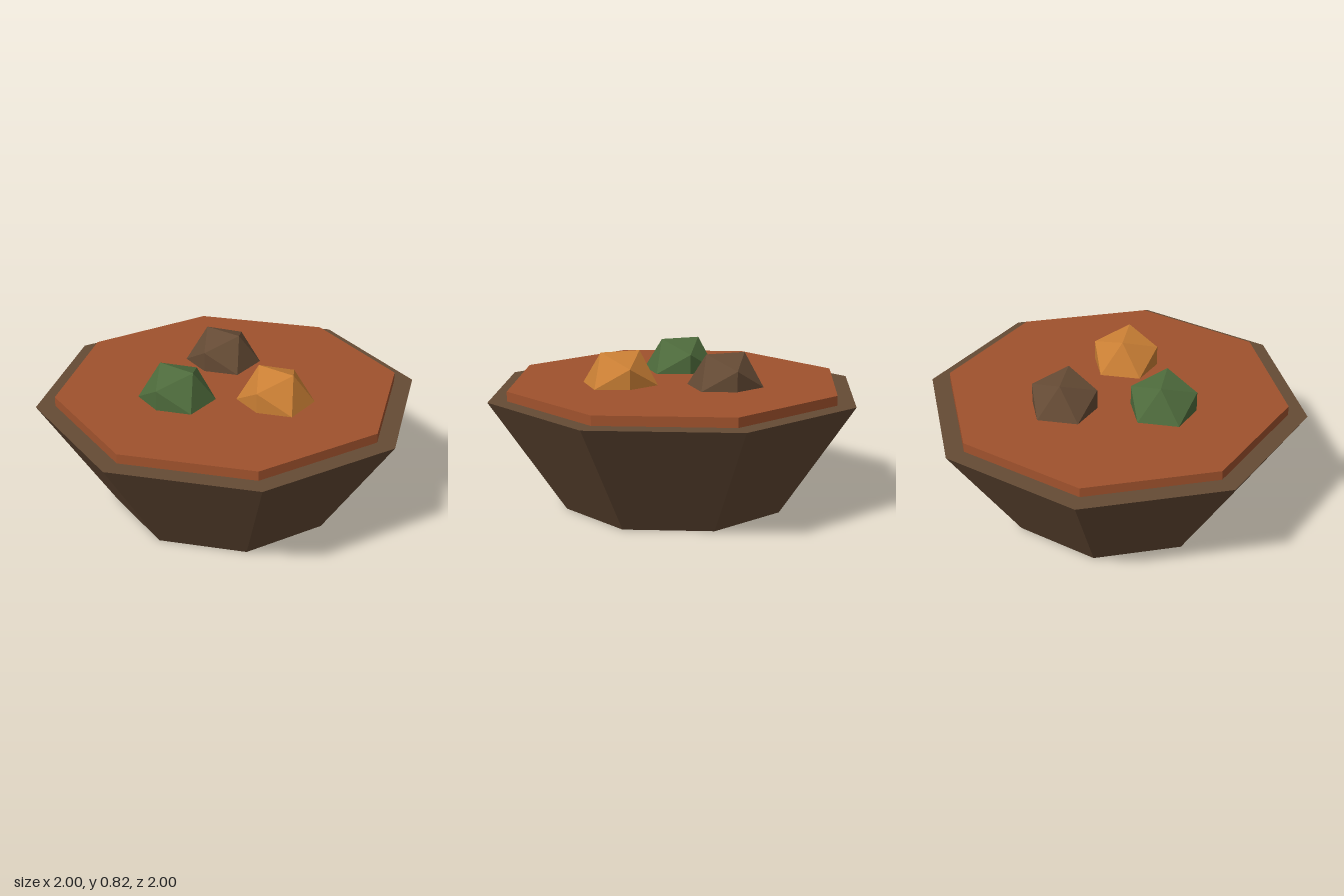
import * as THREE from 'three';

const flat = (name, color) => {
  const m = new THREE.MeshStandardMaterial({ color, flatShading: true });
  m.name = name;
  return m;
};

export function createModel() {
  const group = new THREE.Group();
  group.name = 'bowlOfStew';

  const brown = flat('brown', 0x654b35);
  const sienna = flat('sienna', 0xa0522d);
  const orange = flat('orange', 0xcb8035);
  const green = flat('green', 0x4e6b3c);

  const add = (name, geometry, material, x, y, z) => {
    const mesh = new THREE.Mesh(geometry, material);
    mesh.name = name;
    mesh.position.set(x, y, z);
    group.add(mesh);
  };

  // Eight-sided bowl and the stew filling it
  add('bowl', new THREE.CylinderGeometry(1, 0.6, 0.6, 8), brown, 0, 0.3, 0);
  add('stew', new THREE.CylinderGeometry(0.9, 0.9, 0.1, 8), sienna, 0, 0.6, 0);

  // Chunks half sunk in the stew, two radians apart on a circle
  const chunks = [['carrotChunk', orange], ['herbChunk', green], ['meatChunk', brown]];
  chunks.forEach(([name, material], i) => {
    const a = i * 2;
    add(name, new THREE.IcosahedronGeometry(0.2, 0), material, 0.3 * Math.cos(a), 0.65, 0.3 * Math.sin(a));
  });

  return group;
}
